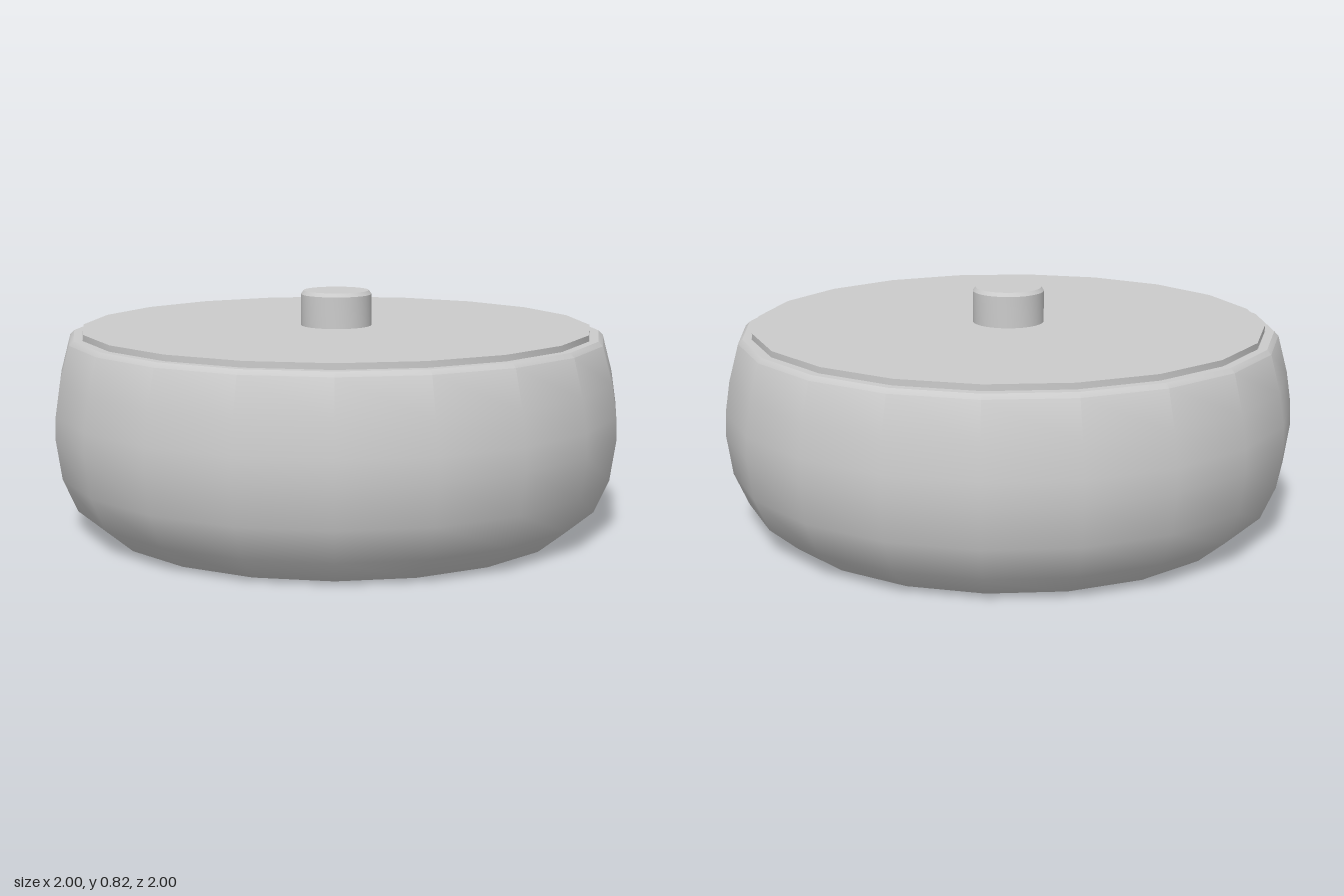
import * as THREE from 'three';
import { toCreasedNormals } from 'three/addons/utils/BufferGeometryUtils.js';

const material = new THREE.MeshStandardMaterial({ color: 0xcccccc });

// Revolves a [radius, height] profile, smooth except at sharp edges
function turned(name, profile, sides) {
  const points = profile.map(([r, y]) => new THREE.Vector2(r, y));
  const geometry = toCreasedNormals(new THREE.LatheGeometry(points, sides), 0.58);
  const mesh = new THREE.Mesh(geometry, material);
  mesh.name = name;
  return mesh;
}

export function createModel() {
  const group = new THREE.Group();
  group.name = 'lidded pot';

  // Bulging bowl with a narrow bevelled rim
  group.add(turned('bowl', [
    [0, 0], [0.83, 0], [0.93, 0.085], [0.98, 0.2], [1, 0.34], [0.997, 0.42],
    [0.98, 0.53], [0.945, 0.66], [0.93, 0.675], [0.9, 0.675], [0.88, 0.66], [0, 0.66],
  ], 20));

  // Thin flat lid resting inside the rim
  group.add(turned('lid', [
    [0, 0.65], [0.897, 0.65], [0.897, 0.695], [0, 0.695],
  ], 20));

  // Round knob with a bevelled top edge
  group.add(turned('knob', [
    [0, 0.68], [0.125, 0.68], [0.125, 0.805], [0.115, 0.818], [0, 0.818],
  ], 32));

  return group;
}
